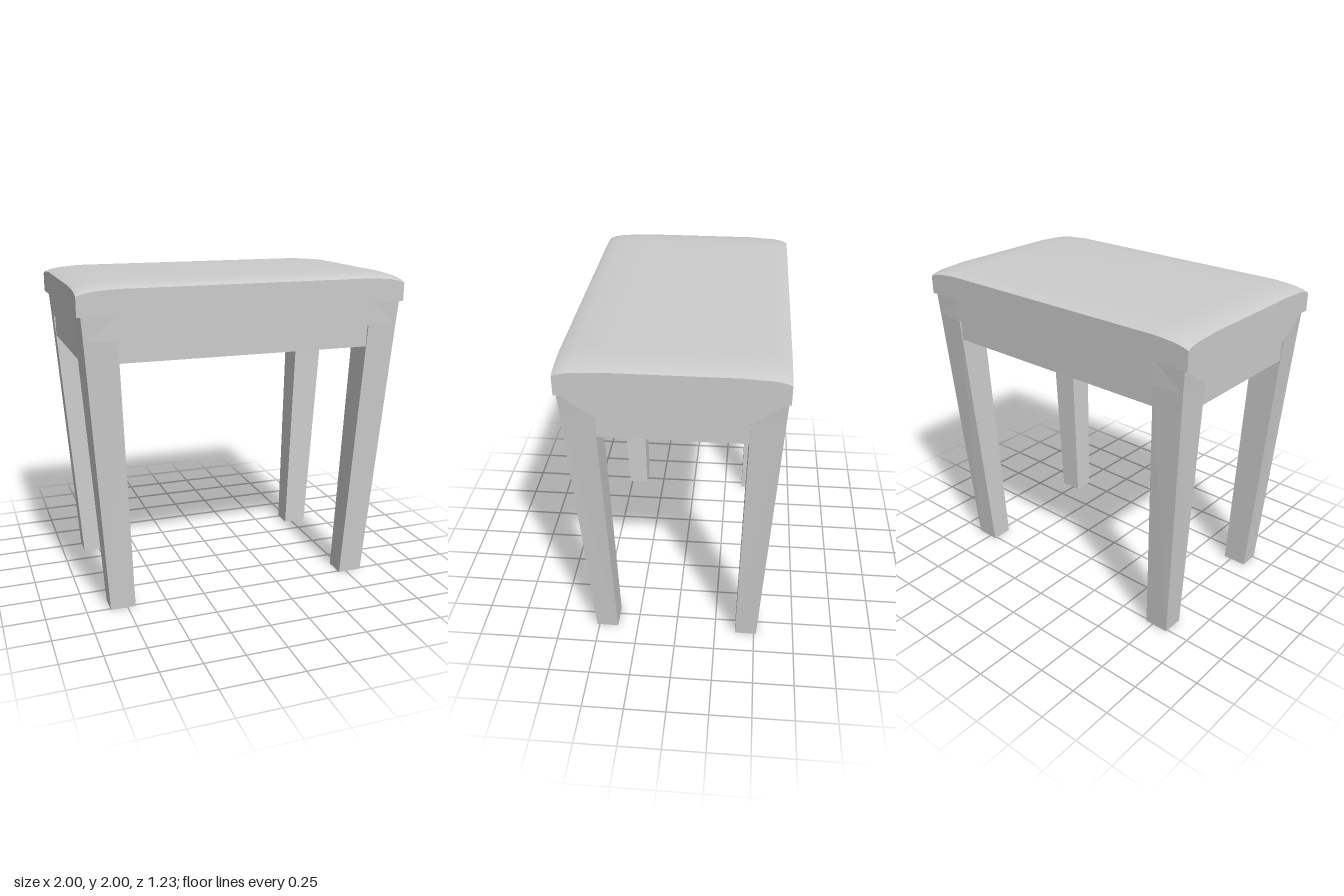
import * as THREE from 'three';

const material = new THREE.MeshStandardMaterial({ color: 0xcccccc });

function part(name, geometry) {
  const mesh = new THREE.Mesh(geometry, material);
  mesh.name = name;
  return mesh;
}

// Padded seat: a box whose top rows are pulled down towards the rim
function seatGeometry() {
  const xs = [-1, -0.97, -0.91, -0.78, 0.78, 0.91, 0.97, 1];
  const zs = [-0.615, -0.59, -0.53, -0.36, 0.36, 0.53, 0.59, 0.615];
  const drops = [0.034, 0.022, 0.01, 0, 0, 0.01, 0.022, 0.034];
  const n = xs.length - 1;
  const geo = new THREE.BoxGeometry(n, 1, n, n, 1, n);
  const p = geo.attributes.position;
  for (let k = 0; k < p.count; k++) {
    const i = Math.round(p.getX(k) + n / 2);
    const j = Math.round(p.getZ(k) + n / 2);
    const y = p.getY(k) > 0 ? 2 - drops[i] - drops[j] : 1.82;
    p.setXYZ(k, xs[i], y, zs[j]);
  }
  geo.computeVertexNormals();
  return geo;
}

// Cross-shaped slab that fills the space between the four legs
function frameGeometry(outX, outZ, inX, inZ, y0, y1) {
  const quarter = [[outX, inZ], [inX, inZ], [inX, outZ]];
  const pts = [];
  for (const [sx, sz] of [[1, 1], [-1, 1], [-1, -1], [1, -1]]) {
    const corner = quarter.map(([x, z]) => new THREE.Vector2(x * sx, z * sz));
    pts.push(...(sx * sz > 0 ? corner : corner.reverse()));
  }
  const geo = new THREE.ExtrudeGeometry(new THREE.Shape(pts), { depth: y1 - y0, bevelEnabled: false });
  geo.rotateX(-Math.PI / 2);
  geo.translate(0, y0, 0);
  return geo;
}

// Tapered leg from three four-cornered sections, mirrored by sx and sz
function legGeometry(sx, sz) {
  // corners: inner, side, outer, front
  const sections = [
    { y: 0, c: [[0.7, 0.38], [0.855, 0.38], [0.855, 0.515], [0.7, 0.515]] },
    { y: 1.68, c: [[0.775, 0.413], [0.977, 0.413], [0.966, 0.598], [0.775, 0.605]] },
    { y: 1.82, c: [[0.775, 0.413], [0.977, 0.413], [0.977, 0.605], [0.775, 0.605]] },
  ];
  const pos = [];
  const quad = (a, b, c, d) => {
    const order = sx * sz > 0 ? [a, b, c, a, c, d] : [a, c, b, a, d, c];
    order.forEach((v) => pos.push(...v));
  };
  const at = (s, i) => {
    const [x, z] = sections[s].c[i % 4];
    return [x * sx, sections[s].y, z * sz];
  };
  for (let s = 0; s < 2; s++) {
    for (let i = 0; i < 4; i++) quad(at(s, i), at(s + 1, i), at(s + 1, i + 1), at(s, i + 1));
  }
  quad(at(0, 0), at(0, 1), at(0, 2), at(0, 3));
  quad(at(2, 3), at(2, 2), at(2, 1), at(2, 0));
  const geo = new THREE.BufferGeometry();
  geo.setAttribute('position', new THREE.Float32BufferAttribute(pos, 3));
  geo.computeVertexNormals();
  return geo;
}

export function createModel() {
  const stool = new THREE.Group();
  stool.name = 'stool';

  stool.add(part('seat', seatGeometry()));
  // Flush upper rail and slightly recessed lower apron
  stool.add(part('rail', frameGeometry(0.977, 0.605, 0.775, 0.413, 1.68, 1.82)));
  stool.add(part('apron', frameGeometry(0.966, 0.594, 0.78, 0.42, 1.55, 1.68)));

  for (const [sz, end] of [[1, 'front'], [-1, 'back']]) {
    for (const [sx, side] of [[1, 'Left'], [-1, 'Right']]) {
      stool.add(part(`${end}${side}Leg`, legGeometry(sx, sz)));
    }
  }
  return stool;
}
